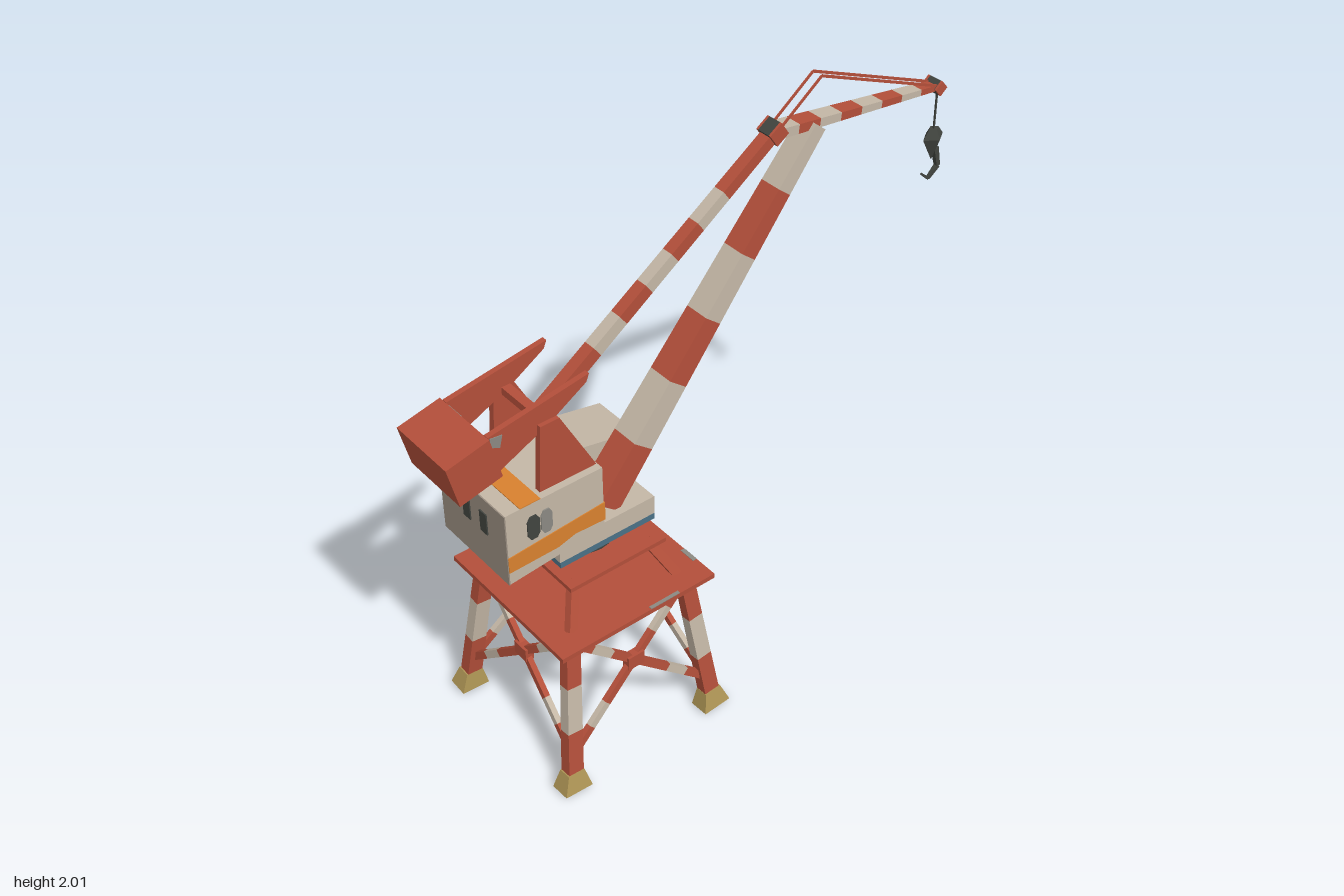
import * as THREE from 'three';

const mat = (name, color) => {
  const m = new THREE.MeshStandardMaterial({ color });
  m.name = name;
  return m;
};
const RED = mat('rust red', 0xb34f3a);
const BEIGE = mat('beige', 0xc4b7a6);
const TAUPE = mat('taupe', 0x9a8e81);
const ORANGE = mat('orange', 0xd8812f);
const BLUE = mat('steel blue', 0x4a7186);
const DARK = mat('dark grey', 0x41443f);
const GREY = mat('worn grey', 0x8b8982);
const YELLOW = mat('foot yellow', 0xae9555);

const V = (x, y, z) => new THREE.Vector3(x, y, z);
const Z = V(0, 0, 1), X = V(1, 0, 0);
const CX = -0.42; // tower axis

function add(parent, name, geometry, material) {
  const mesh = new THREE.Mesh(geometry, material);
  mesh.name = name;
  parent.add(mesh);
  return mesh;
}

function box(parent, name, material, x0, x1, y0, y1, z0, z1) {
  const mesh = add(parent, name, new THREE.BoxGeometry(x1 - x0, y1 - y0, z1 - z0), material);
  mesh.position.set((x0 + x1) / 2, (y0 + y1) / 2, (z0 + z1) / 2);
  return mesh;
}

// Side outline in x-y, extruded from z0 to z1
function prism(parent, name, material, pts, z0, z1) {
  const shape = new THREE.Shape(pts.map(([x, y]) => new THREE.Vector2(x, y)));
  const geo = new THREE.ExtrudeGeometry(shape, { depth: z1 - z0, bevelEnabled: false });
  geo.translate(0, 0, z0);
  return add(parent, name, geo, material);
}

// Upright eight-sided window outline
const windowShape = (x, y, w, h) => [[-w, -0.6 * h], [-0.5 * w, -h], [0.5 * w, -h], [w, -0.6 * h],
  [w, 0.6 * h], [0.5 * w, h], [-0.5 * w, h], [-w, 0.6 * h]].map(([a, b]) => [x + a, y + b]);

// Tapered rectangular beam from a to b in equal bands of colour.
// s0 and s1 are [width, depth] at the ends; depth runs along ref.
function beam(parent, name, a, b, s0, s1, bands, ref = Z) {
  const group = new THREE.Group();
  group.name = name;
  parent.add(group);
  const dir = b.clone().sub(a).normalize();
  const v = ref.clone().addScaledVector(dir, -ref.dot(dir)).normalize();
  const u = dir.clone().cross(v);
  bands.forEach((material, i) => {
    const geo = new THREE.BoxGeometry(1, 1, 1);
    const pos = geo.attributes.position;
    for (let k = 0; k < pos.count; k++) {
      const t = (i + pos.getY(k) + 0.5) / bands.length;
      const p = a.clone().lerp(b, t)
        .addScaledVector(u, pos.getX(k) * THREE.MathUtils.lerp(s0[0], s1[0], t))
        .addScaledVector(v, pos.getZ(k) * THREE.MathUtils.lerp(s0[1], s1[1], t));
      pos.setXYZ(k, p.x, p.y, p.z);
    }
    geo.computeVertexNormals();
    add(group, name + 'Band', geo, material);
  });
  return group;
}

function buildTower(root) {
  const tower = new THREE.Group();
  tower.name = 'tower';
  root.add(tower);

  // Feet, legs and the sloping bars between the two platforms
  for (const sx of [-1, 1]) for (const sz of [-1, 1]) {
    beam(tower, 'foot', V(CX + sx * 0.277, 0, sz * 0.283), V(CX + sx * 0.272, 0.065, sz * 0.278),
      [0.1, 0.07], [0.06, 0.045], [YELLOW]);
    beam(tower, 'leg', V(CX + sx * 0.272, 0.05, sz * 0.278), V(CX + sx * 0.215, 0.55, sz * 0.22),
      [0.055, 0.042], [0.05, 0.036], [RED, BEIGE, RED]);
    beam(tower, 'slopingBar', V(CX + sx * 0.2, 0.555, sz * 0.205), V(CX + sx * 0.135, 0.685, sz * 0.135),
      [0.03, 0.025], [0.03, 0.025], [RED]);
  }

  // Crossed braces with a hub on each of the four sides
  const bands = [RED, BEIGE, RED, RED, RED, BEIGE, RED];
  const s = [0.026, 0.018];
  for (const side of [-1, 1]) {
    for (const f of [-1, 1]) {
      beam(tower, 'brace', V(CX - f * 0.25, 0.13, side * 0.268), V(CX + f * 0.21, 0.525, side * 0.222), s, s, bands);
      beam(tower, 'brace', V(CX + side * 0.262, 0.13, -f * 0.258), V(CX + side * 0.218, 0.525, f * 0.215), s, s, bands, X);
    }
    box(tower, 'braceHub', RED, CX - 0.03, CX + 0.03, 0.322, 0.37, side * 0.243 - 0.015, side * 0.243 + 0.015);
    box(tower, 'braceHub', RED, CX + side * 0.238 - 0.015, CX + side * 0.238 + 0.015, 0.322, 0.37, -0.03, 0.03);
  }

  // Platforms, with paint worn off along the rim of the lower one
  box(tower, 'lowerPlatform', RED, -0.708, -0.135, 0.543, 0.56, -0.285, 0.285);
  box(tower, 'upperPlatform', RED, -0.595, -0.24, 0.68, 0.695, -0.18, 0.18);
  for (const [x0, x1] of [[-0.5, -0.41], [-0.36, -0.15]]) {
    box(tower, 'wornRim', GREY, x0, x1, 0.56, 0.562, -0.285, -0.268);
  }
  for (const [z0, z1] of [[-0.22, -0.15], [0.14, 0.2]]) {
    box(tower, 'wornRim', GREY, -0.15, -0.135, 0.56, 0.562, z0, z1);
  }
  box(tower, 'wornRim', GREY, -0.38, -0.27, 0.56, 0.562, 0.273, 0.285);
  add(tower, 'turntable', new THREE.CylinderGeometry(0.097, 0.097, 0.08, 20), DARK).position.set(CX, 0.732, 0);
}

function buildHouse(root) {
  const house = new THREE.Group();
  house.name = 'house';
  root.add(house);

  box(house, 'baseSkirt', BLUE, -0.608, -0.262, 0.767, 0.79, -0.154, 0.154);
  box(house, 'base', BEIGE, -0.61, -0.262, 0.79, 0.855, -0.155, 0.155);

  // Machine house with a band around three sides, one across the roof and a dull rear wall
  prism(house, 'machineHouse', BEIGE, [[-0.79, 0.82], [-0.455, 0.85], [-0.455, 1.075], [-0.79, 1.075]], -0.16, 0.165);
  prism(house, 'houseStripe', ORANGE, [[-0.791, 0.865], [-0.62, 0.868], [-0.56, 0.885], [-0.452, 0.88],
    [-0.452, 0.945], [-0.791, 0.92]], -0.163, 0.168);
  box(house, 'roofStripe', ORANGE, -0.74, -0.67, 1.075, 1.078, -0.16, 0.165);
  box(house, 'rearWall', TAUPE, -0.794, -0.79, 0.82, 1.075, -0.161, 0.166);

  // Driver's cab beside the boom
  prism(house, 'cab', BEIGE, [[-0.455, 0.85], [-0.225, 0.855], [-0.225, 1.0], [-0.455, 1.045]], -0.155, 0.022);
  prism(house, 'cabStripe', ORANGE, [[-0.455, 0.88], [-0.222, 0.875], [-0.222, 0.9], [-0.455, 0.925]], -0.158, 0.025);

  // Pairs of windows
  for (const [i, material] of [DARK, GREY].entries()) {
    const outline = windowShape(-0.7 + i * 0.045, 0.989, 0.021 - i * 0.002, 0.042);
    prism(house, 'frontWindow', material, outline, 0.165, 0.169);
    prism(house, 'backWindow', material, outline, -0.164, -0.16);
    box(house, 'cabWindow', material, -0.225, -0.221, 0.922, 0.965, -0.1 + i * 0.03, -0.073 + i * 0.03);
    box(house, 'rearWindow', DARK, -0.798, -0.794, 0.95, 1.025, -0.042 + i * 0.085, -0.008 + i * 0.085);
  }
  box(house, 'sideWindow', DARK, -0.455, -0.451, 0.95, 1.0, 0.09, 0.125);
}

function buildCounterweight(root) {
  const gear = new THREE.Group();
  gear.name = 'counterweightGear';
  root.add(gear);

  const weight = new THREE.Group();
  weight.name = 'counterweight';
  weight.position.set(-0.856, 1.248, 0.018);
  weight.rotation.z = 0.23;
  gear.add(weight);
  box(weight, 'counterweightBlock', RED, -0.073, 0.073, -0.073, 0.073, -0.12, 0.12);
  box(weight, 'counterweightPatch', GREY, 0.073, 0.077, -0.045, 0.065, -0.085, -0.02);

  // Rocking arms, each with a worn patch, and the pylons they sit on
  for (const side of [-1, 1]) {
    const zc = 0.018 + side * 0.1;
    prism(gear, 'rockingArm', RED,
      [[-0.78, 1.2], [-0.6, 1.285], [-0.47, 1.365], [-0.46, 1.39], [-0.8, 1.335]], zc - 0.009, zc + 0.009);
    const zw = zc + side * 0.01;
    prism(gear, 'armWear', GREY, [[-0.795, 1.3], [-0.765, 1.285], [-0.755, 1.325], [-0.795, 1.33]], zw - 0.002, zw + 0.002);
    const zp = 0.018 + side * 0.112;
    prism(gear, 'pylon', RED,
      [[-0.655, 1.07], [-0.455, 1.07], [-0.575, 1.3], [-0.64, 1.3]], zp - 0.011, zp + 0.011);
  }
  box(gear, 'pivotShaft', RED, -0.62, -0.59, 1.275, 1.3, -0.09, 0.125);
}

function buildBoom(root) {
  const boom = new THREE.Group();
  boom.name = 'boom';
  root.add(boom);
  const zb = 0.08, zj = 0.075;

  beam(boom, 'mainBoom', V(-0.41, 0.872, zb), V(0.385, 1.85, zb), [0.088, 0.1], [0.048, 0.07],
    [RED, BEIGE, RED, BEIGE, RED, BEIGE]);
  beam(boom, 'backstay', V(-0.59, 1.29, zj), V(0.24, 1.87, zj), [0.045, 0.04], [0.035, 0.04],
    [RED, RED, BEIGE, RED, BEIGE, RED, BEIGE, RED, RED]);
  beam(boom, 'jib', V(0.23, 1.873, zj), V(0.89, 1.795, zj), [0.032, 0.06], [0.018, 0.04],
    [BEIGE, RED, BEIGE, RED, BEIGE, RED, BEIGE, RED]);

  // Sheave blocks with red cheeks at both ends of the jib
  for (const [name, x, y, size, turn] of [['jibJoint', 0.238, 1.872, 0.05, 0.6], ['jibTip', 0.886, 1.795, 0.034, 0.7]]) {
    const joint = new THREE.Group();
    joint.name = name;
    joint.position.set(x, y, zj);
    joint.rotation.z = turn;
    boom.add(joint);
    const h = size / 2;
    box(joint, name + 'Block', DARK, -h, h, -h, h, -0.022, 0.022);
    for (const side of [-1, 1]) {
      box(joint, name + 'Cheek', RED, -h, h, -h, h, side * 0.026 - 0.004, side * 0.026 + 0.004);
    }
  }

  // Twin flat tie rods over the jib
  for (const side of [-1, 1]) {
    const z = zj + side * 0.018, s = [0.008, 0.004];
    beam(boom, 'tieRod', V(0.24, 1.875, z), V(0.4, 1.996, z), s, s, [RED]);
    beam(boom, 'tieRod', V(0.4, 1.996, z), V(0.886, 1.8, z), s, s, [RED]);
  }

  // Cable, hook block and hook
  beam(boom, 'cable', V(0.9, 1.785, zj), V(0.9, 1.64, zj), [0.005, 0.005], [0.005, 0.005], [DARK]);
  const profile = [[0, 1.535], [0.042, 1.615], [0.02, 1.645], [0, 1.645]].map(([r, y]) => new THREE.Vector2(r, y));
  const block = new THREE.LatheGeometry(profile, 4).toNonIndexed();
  block.computeVertexNormals();
  const blockMesh = add(boom, 'hookBlock', block, DARK);
  blockMesh.position.set(0.9, 0, zj);
  blockMesh.scale.z = 0.7;
  const hook = [[0.912, 1.575], [0.93, 1.505], [0.893, 1.472], [0.862, 1.498]];
  for (let i = 0; i < 3; i++) {
    const w = 0.018 - i * 0.004;
    beam(boom, 'hook', V(...hook[i], zj), V(...hook[i + 1], zj), [w, w], [w - 0.004, w - 0.004], [DARK]);
  }
}

export function createModel() {
  const root = new THREE.Group();
  root.name = 'harbourCrane';
  buildTower(root);
  buildHouse(root);
  buildCounterweight(root);
  buildBoom(root);
  return root;
}
